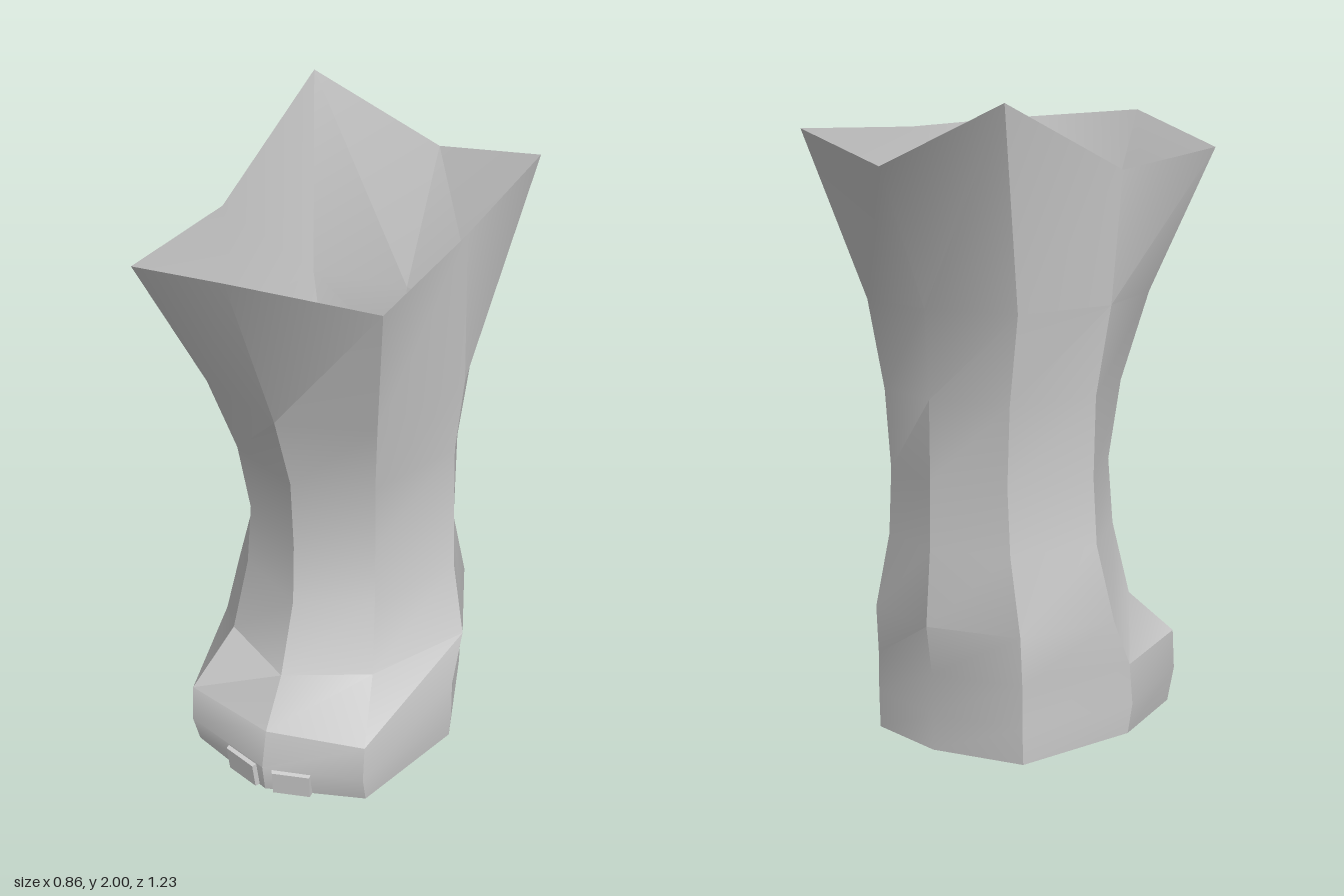
import * as THREE from 'three';
import { toCreasedNormals } from 'three/addons/utils/BufferGeometryUtils.js';

// Cross-sections from the ground up:
// y, front z, front corner x/z, side x/z, back corner x/z, back z
const SECTIONS = [
  [0.01, 0.54, 0.31, 0.43, 0.42, 0.04, 0.28, -0.335, -0.41],
  [0.115, 0.555, 0.315, 0.46, 0.43, 0.05, 0.28, -0.34, -0.41],
  [0.245, 0.525, 0.315, 0.45, 0.425, 0.04, 0.28, -0.34, -0.415],
  [0.40, 0.42, 0.255, 0.28, 0.42, -0.04, 0.28, -0.35, -0.44],
  [0.64, 0.335, 0.23, 0.22, 0.37, -0.065, 0.235, -0.335, -0.42],
  [0.85, 0.325, 0.222, 0.205, 0.36, -0.07, 0.225, -0.335, -0.417],
  [1.10, 0.34, 0.24, 0.245, 0.36, -0.06, 0.24, -0.345, -0.42],
  [1.38, 0.43, 0.288, 0.33, 0.397, -0.035, 0.285, -0.37, -0.44],
];

// Uneven rim, counter-clockwise from the front
const RIM = [
  [-0.045, 1.935, 0.61], [0.39, 1.90, 0.505], [0.395, 1.89, -0.02], [0.395, 1.905, -0.54],
  [0.02, 1.81, -0.615], [-0.40, 2.0, -0.565], [-0.412, 1.785, 0], [-0.42, 1.83, 0.50],
];

function ring([y, fz, cx, cz, sx, sz, bx, bz, backZ]) {
  return [
    [0, y, fz], [cx, y, cz], [sx, y, sz], [bx, y, bz],
    [0, y, backZ], [-bx * 1.1, y, bz - 0.02], [-sx, y, sz], [-cx, y, cz],
  ];
}

function geometryFrom(points, index) {
  const g = new THREE.BufferGeometry();
  g.setAttribute('position', new THREE.Float32BufferAttribute(points.flat(), 3));
  g.setIndex(index);
  return toCreasedNormals(g, Math.PI / 6);
}

export function createModel() {
  const model = new THREE.Group();
  model.name = 'boot';
  const material = new THREE.MeshStandardMaterial({ color: 0xcccccc, side: THREE.DoubleSide });
  const add = (name, geometry) => {
    const mesh = new THREE.Mesh(geometry, material);
    mesh.name = name;
    model.add(mesh);
    return mesh;
  };

  const rings = [...SECTIONS.map(ring), RIM];
  rings[0][2][1] = rings[0][6][1] = 0.02;
  rings[0][3][1] = rings[0][4][1] = rings[0][5][1] = 0;

  // Open eight-sided shaft and foot
  const index = [];
  for (let j = 0; j < rings.length - 1; j++) {
    for (let i = 0; i < 8; i++) {
      const a = j * 8 + i, b = j * 8 + (i + 1) % 8;
      index.push(a, b, b + 8, a, b + 8, a + 8);
    }
  }
  add('shaft', geometryFrom(rings.flat(), index));

  // Sole closing the bottom
  const soleIndex = [];
  for (let i = 0; i < 8; i++) soleIndex.push(8, (i + 1) % 8, i);
  add('sole', geometryFrom([...rings[0], [0, 0.015, 0.04]], soleIndex));

  // Two toe plates lying on the front facets, slightly bevelled
  for (const side of [-1, 1]) {
    const plate = new THREE.BoxGeometry(0.135, 0.1, 0.03);
    const p = plate.attributes.position;
    for (let i = 0; i < p.count; i++) {
      if (p.getZ(i) > 0) p.setXY(i, p.getX(i) * 0.9, p.getY(i) * 0.94);
    }
    plate.computeVertexNormals();
    const mesh = add(side > 0 ? 'leftToePlate' : 'rightToePlate', plate);
    mesh.position.set(side * 0.088, 0.06, 0.519);
    mesh.rotation.set(-0.13, side * 0.3, 0, 'YXZ');
    mesh.rotation.x = 0.13;
  }

  return model;
}
